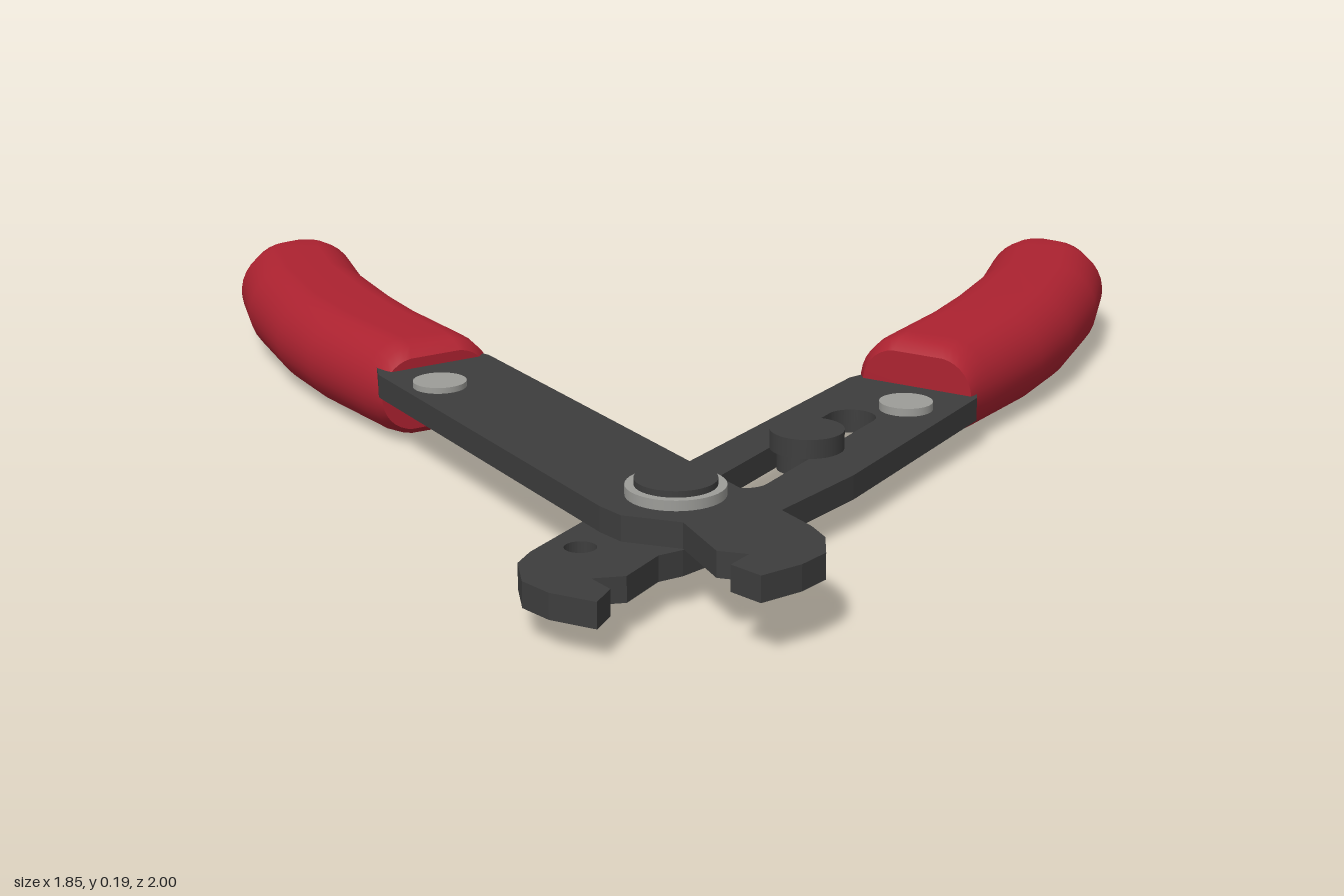
import * as THREE from 'three';

const steel = new THREE.MeshStandardMaterial({ color: 0x3d3d3d });
steel.name = 'darkSteel';
const silver = new THREE.MeshStandardMaterial({ color: 0x9c9c98 });
silver.name = 'silver';
const red = new THREE.MeshStandardMaterial({ color: 0xac2230 });
red.name = 'redGrip';

function part(name, geometry, material) {
  const mesh = new THREE.Mesh(geometry, material);
  mesh.name = name;
  return mesh;
}

// Flat plate from an outline of [x, z] points
function plate(name, outline, holes, y0, y1) {
  const shape = new THREE.Shape(outline.map(([x, z]) => new THREE.Vector2(x, -z)));
  shape.holes.push(...holes);
  const geo = new THREE.ExtrudeGeometry(shape, { depth: y1 - y0, bevelEnabled: false, curveSegments: 16 });
  geo.rotateX(-Math.PI / 2).translate(0, y0, 0);
  return part(name, geo, steel);
}

function disc(name, x, z, r, y0, y1, material) {
  const geo = new THREE.CylinderGeometry(r, r, y1 - y0, 40);
  geo.translate(x, (y0 + y1) / 2, z);
  return part(name, geo, material);
}

// Grip sections: outer edge x, z, inner edge x, z, half height
const GRIP = [
  [-0.555, -0.065, -0.36, -0.19, 0.07],
  [-0.575, -0.09, -0.358, -0.215, 0.088],
  [-0.60, -0.125, -0.37, -0.24, 0.095],
  [-0.72, -0.30, -0.485, -0.425, 0.095],
  [-0.80, -0.45, -0.55, -0.55, 0.095],
  [-0.885, -0.67, -0.635, -0.74, 0.095],
  [-0.925, -0.84, -0.675, -0.88, 0.095],
  [-0.92, -0.90, -0.69, -0.935, 0.093],
  [-0.89, -0.96, -0.71, -0.975, 0.085],
  [-0.82, -1.0, -0.75, -1.0, 0.068],
];

function grip(name, side, dz) {
  const n = 32, pos = [], index = [];
  const first = GRIP[0], last = GRIP[GRIP.length - 1];
  // Collapsed rows close the ends; the doubled first row keeps its rim crisp
  const rows = [[first, 0], [first, 1], ...GRIP.map((s) => [s, 1]), [last, 0]];
  for (const [[ax, az, bx, bz, h], k] of rows) {
    const w = Math.hypot(bx - ax, bz - az) / 2, r = Math.min(w, h);
    const dx = (bx - ax) / (2 * w), dzz = (bz - az) / (2 * w);
    for (let j = 0; j < n; j++) {
      const t = ((j + 0.5) / n) * Math.PI * 2, c = Math.cos(t), s = Math.sin(t);
      const u = k * (Math.sign(c) * (w - r) + r * c);
      const v = k * (Math.sign(s) * (h - r) + r * s);
      pos.push(-side * ((ax + bx) / 2 + dx * u), 0.095 + v, (az + bz) / 2 + dzz * u + dz);
    }
  }
  for (let i = 0; i < rows.length - 1; i++) {
    for (let j = 0; j < n; j++) {
      const a = i * n + j, b = i * n + ((j + 1) % n), c = a + n, d = b + n;
      if (side < 0) index.push(a, c, b, b, c, d);
      else index.push(a, b, c, b, d, c);
    }
  }
  const geo = new THREE.BufferGeometry();
  geo.setAttribute('position', new THREE.Float32BufferAttribute(pos, 3));
  geo.setIndex(index);
  geo.computeVertexNormals();
  return part(name, geo, red);
}

// Rounded slot between two [x, z] centres
function slotPath([x0, z0], [x1, z1], r) {
  const a = Math.atan2(-(z1 - z0), x1 - x0), path = new THREE.Path();
  path.absarc(x1, -z1, r, a - Math.PI / 2, a + Math.PI / 2, false);
  path.absarc(x0, -z0, r, a + Math.PI / 2, a + Math.PI * 1.5, false);
  path.closePath();
  return path;
}

export function createModel() {
  const g = new THREE.Group();
  g.name = 'wireStripper';

  // Upper arm with its hooked jaw
  g.add(plate('upperArm', [
    [-0.42, -0.24], [-0.36, -0.19], [0.13, 0.65], [0.205, 0.78], [0.223, 0.83], [0.22, 0.90],
    [0.18, 0.95], [0.115, 0.998], [0.07, 0.95], [0.10, 0.905], [0.05, 0.89], [0.0, 0.76],
    [-0.10, 0.725], [-0.135, 0.68], [-0.56, -0.06], [-0.57, -0.12],
  ], [], 0.1, 0.145));

  // Lower arm with adjustment slot and wire hole
  const wireHole = new THREE.Path();
  wireHole.absarc(-0.165, -0.75, 0.027, 0, Math.PI * 2, false);
  g.add(plate('lowerArm', [
    [0.40, -0.23], [0.335, -0.18], [-0.02, 0.38], [-0.17, 0.64], [-0.245, 0.77], [-0.263, 0.82],
    [-0.253, 0.90], [-0.21, 0.95], [-0.135, 0.99], [-0.115, 0.935], [-0.145, 0.89], [-0.09, 0.88],
    [-0.04, 0.79], [0.0, 0.765], [0.12, 0.64], [0.30, 0.40], [0.565, -0.045], [0.57, -0.10],
  ], [slotPath([0.32, 0.07], [0.11, 0.42], 0.045), wireHole], 0.055, 0.1));

  // Cushioned grips
  g.add(grip('rightGrip', -1, 0), grip('leftGrip', 1, 0.013));

  // Pivot
  g.add(disc('pivotRing', -0.01, 0.622, 0.085, 0.145, 0.163, silver));
  g.add(disc('pivotCap', -0.01, 0.622, 0.07, 0.145, 0.174, steel));

  // Rivets beside the grips
  g.add(disc('rightRivet', -0.44, 0.012, 0.05, 0.14, 0.156, silver));
  g.add(disc('leftRivet', 0.425, 0.02, 0.05, 0.095, 0.115, silver));

  // Adjustment screw riding in the slot
  g.add(disc('stopScrewHead', 0.228, 0.245, 0.067, 0.1, 0.135, steel));
  g.add(disc('stopScrewStud', 0.217, 0.243, 0.043, 0.06, 0.11, steel));
  return g;
}
